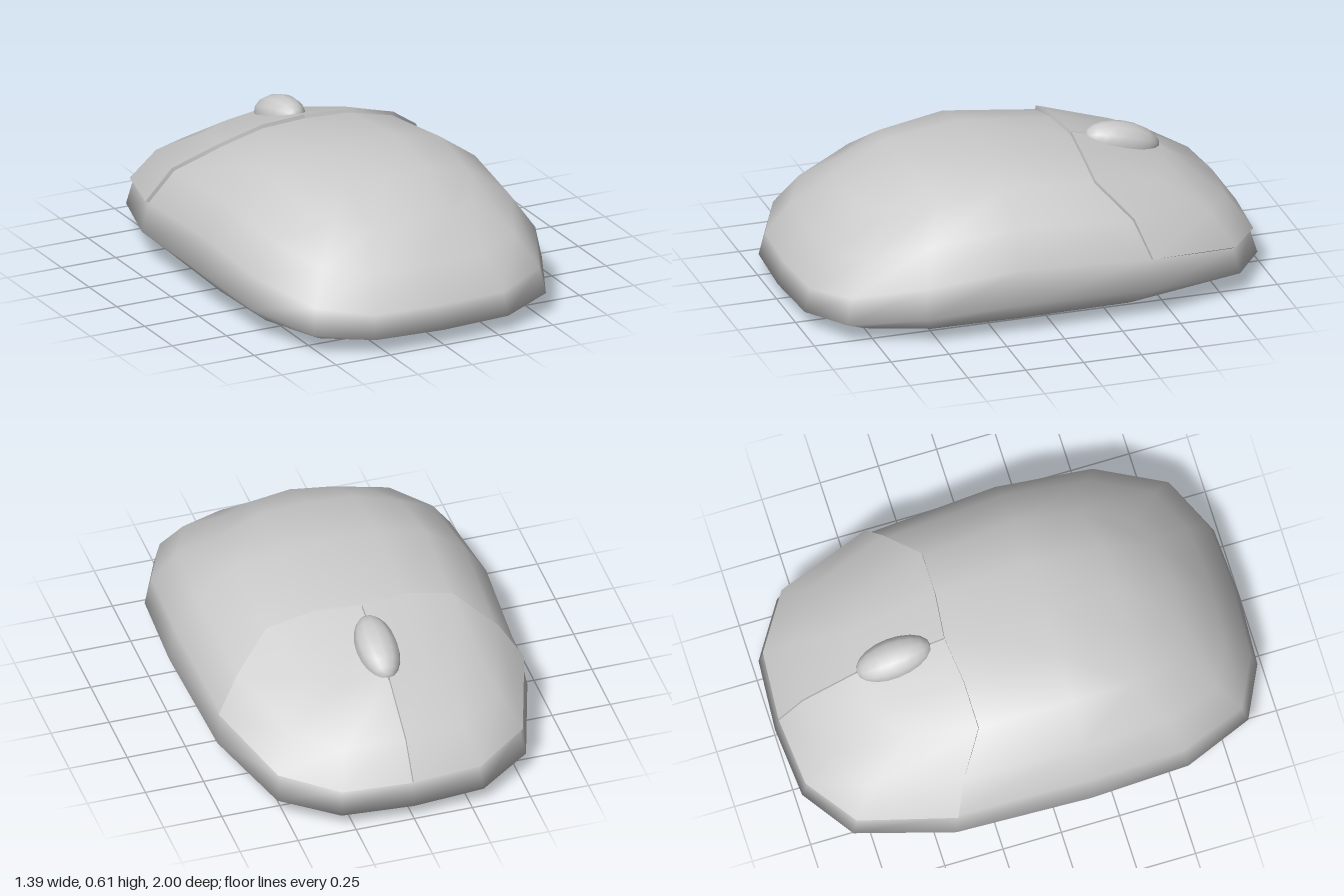
import * as THREE from 'three';
import { mergeVertices, toCreasedNormals } from 'three/addons/utils/BufferGeometryUtils.js';

// Rows from the lower edge (0) to the upper edge (4): half width, reach to front and back, heights
const ROWS = [
  { x: 0.6, front: 0.73, back: 0.97, side: 0.05, end: 0.02, dip: 0 },
  { x: 0.695, front: 0.845, back: 1.15, side: 0.15, end: 0.065, dip: 0.01 },
  { x: 0.67, front: 0.82, back: 1.12, side: 0.295, end: 0.165, dip: 0.02 },
  { x: 0.575, front: 0.72, back: 1.02, side: 0.44, end: 0.31, dip: 0.03 },
  { x: 0.41, front: 0.56, back: 0.79, side: 0.555, end: 0.46, dip: 0.045 },
];
const TOP = { x: 0.21, front: 0.33, back: 0.42, side: 0.598, end: 0.56, dip: 0.02 };
const BOTTOM = { x: 0.34, front: 0.45, back: 0.75, side: 0.01, end: 0.008, dip: 0 };
const CENTRE_Z = 0.15;

// Plan outline as fractions: [x, z, weight of end height, corner dip]
function outline(a, c, ring) {
  if (ring === 1) return a && c ? [0.95, 0.95, 0.5, 1] : a ? [1, 0, 0, 0] : [0, 1, 1, 0];
  if (c === 2) return [[0, 1, 1, 0], [0.44, 0.98, 0.9, 0.6], [0.77, 0.85, 0.6, 1]][a];
  return c === 1 ? [0.96, 0.5, 0.25, 0.4] : [1, 0, 0, 0];
}

// Maps a grid point of a box (-2..2 on each axis) to the rounded shell
function shellPoint(a, b, c) {
  const ring = Math.max(Math.abs(a), Math.abs(c));
  if (ring === 0) return [0, b > 0 ? 0.605 : 0, CENTRE_Z];
  const row = ring === 2 ? ROWS[b + 2] : b > 0 ? TOP : BOTTOM;
  const [fx, fz, end, dip] = outline(Math.abs(a), Math.abs(c), ring);
  return [
    Math.sign(a) * fx * row.x,
    row.side + (row.end - row.side) * end - dip * row.dip,
    CENTRE_Z + Math.sign(c) * fz * (c > 0 ? row.front : row.back),
  ];
}

function shell() {
  let geo = new THREE.BoxGeometry(4, 4, 4, 4, 4, 4);
  geo.deleteAttribute('uv');
  geo.deleteAttribute('normal');
  geo = mergeVertices(geo);
  const pos = geo.attributes.position;
  const grid = [];
  for (let i = 0; i < pos.count; i++) {
    const cell = [pos.getX(i), pos.getY(i), pos.getZ(i)].map(Math.round);
    grid.push(cell);
    pos.setXYZ(i, ...shellPoint(...cell));
  }
  geo.computeVertexNormals();
  return { geo, grid };
}

// Raised plate over the back upper quarter of the shell, with a rim down to it
function buttonGeometry({ geo, grid }, side, lift) {
  const pos = geo.attributes.position, nor = geo.attributes.normal, index = geo.index.array;
  const inside = (i) => grid[i][0] * side >= 0 && grid[i][1] >= 0 && grid[i][2] <= -1;
  const at = (i, d) => {
    const p = new THREE.Vector3().fromBufferAttribute(pos, i);
    const n = new THREE.Vector3().fromBufferAttribute(nor, i);
    if (grid[i][0] === 0) {
      n.x = 0;
      p.x = side * 0.003; // narrow gap between the two buttons
    }
    return p.addScaledVector(n, d);
  };
  const points = [];
  const edges = new Map();
  for (let t = 0; t < index.length; t += 3) {
    const tri = [index[t], index[t + 1], index[t + 2]];
    if (!tri.every(inside)) continue;
    tri.forEach((v, k) => {
      points.push(at(v, lift));
      const w = tri[(k + 1) % 3];
      if (!edges.delete(w + '_' + v)) edges.set(v + '_' + w, [v, w]);
    });
  }
  for (const [v, w] of edges.values()) {
    const a = at(v, lift), b = at(w, lift), c = at(w, -0.01), d = at(v, -0.01);
    points.push(a, d, c, a, c, b);
  }
  return toCreasedNormals(new THREE.BufferGeometry().setFromPoints(points), 1.1);
}

export function createModel() {
  const group = new THREE.Group();
  const material = new THREE.MeshStandardMaterial({ color: 0xcccccc });
  const add = (name, geo) => {
    const mesh = new THREE.Mesh(geo, material);
    mesh.name = name;
    group.add(mesh);
    return mesh;
  };

  const body = shell();
  add('body', body.geo);
  add('leftButton', buttonGeometry(body, 1, 0.016));
  add('rightButton', buttonGeometry(body, -1, 0.016));

  // Scroll wheel, leaning with the slope of the buttons
  const wheelGeo = new THREE.SphereGeometry(1, 12, 10).rotateX(Math.PI / 2).scale(0.088, 0.08, 0.165);
  const wheel = add('scrollWheel', wheelGeo);
  wheel.position.set(0, 0.508, -0.49);
  wheel.rotation.x = -0.27;
  return group;
}
